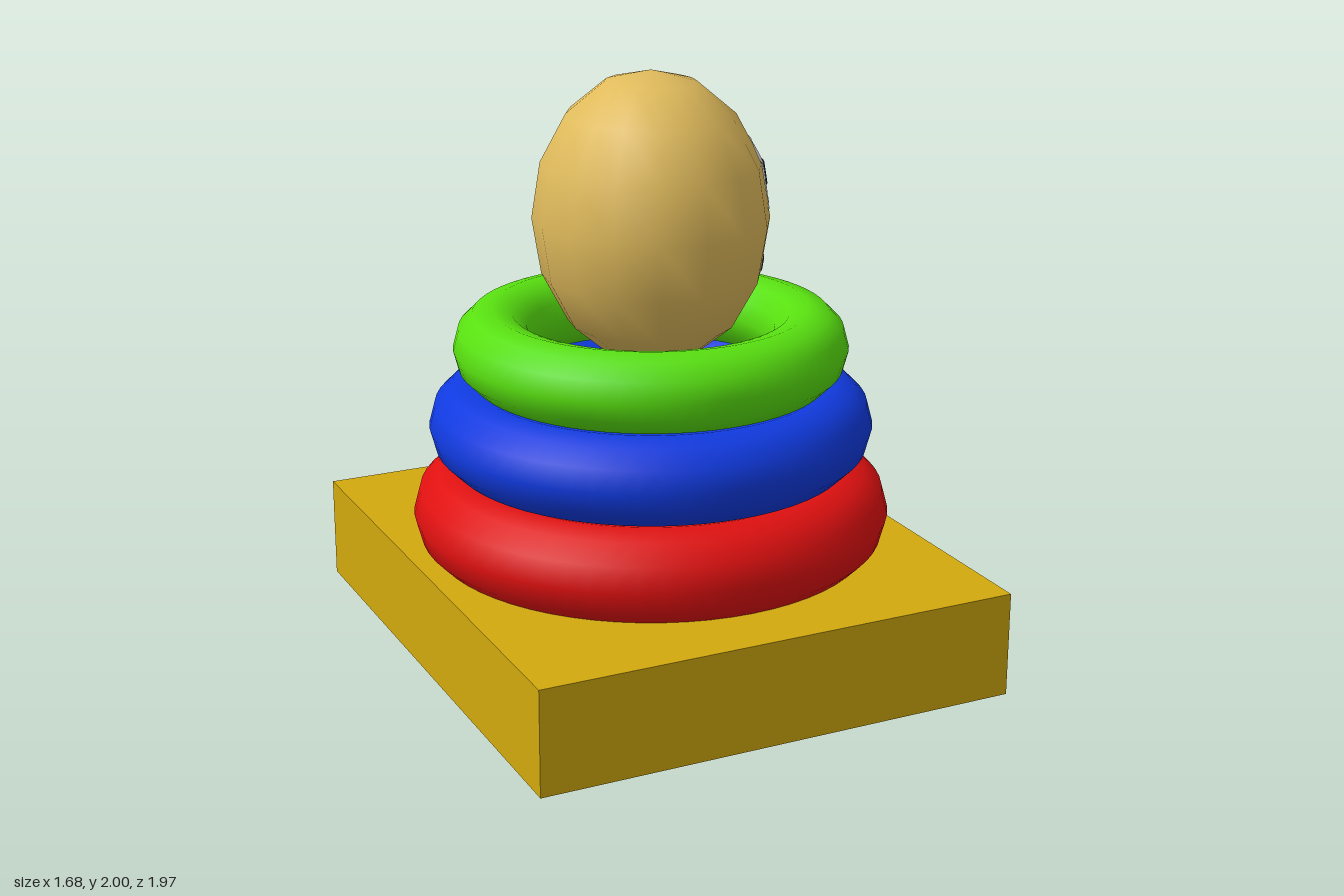
import * as THREE from 'three';

const material = (name, color, side = THREE.FrontSide) => {
  const m = new THREE.MeshStandardMaterial({ color, side });
  m.name = name;
  return m;
};

const HEAD_Y = 1.5;
const HEAD_RADII = new THREE.Vector3(0.395, 0.5, 0.43);

export function createModel() {
  const group = new THREE.Group();
  const mats = {
    base: material('golden yellow', 0xd2a90e),
    red: material('red', 0xe01010),
    blue: material('blue', 0x103ae0),
    green: material('green', 0x58e010),
    skin: material('tan', 0xe0bb5c),
    post: material('cream', 0xd0c8b4),
    white: material('white', 0xe6e4e0, THREE.DoubleSide),
    black: material('black', 0x1c1c1c, THREE.DoubleSide),
  };
  const add = (name, geometry, mat, y = 0) => {
    const mesh = new THREE.Mesh(geometry, mat);
    mesh.name = name;
    mesh.position.y = y;
    group.add(mesh);
    return mesh;
  };

  // Slab base and the post that carries the rings
  add('base', new THREE.BoxGeometry(1.68, 0.36, 1.97), mats.base, 0.18);
  add('post', new THREE.CylinderGeometry(0.15, 0.15, 0.75, 24), mats.post, 0.73);

  // Stacked rings: name, centre radius, tube radius, height
  for (const [color, radius, tube, y] of [
    ['red', 0.655, 0.165, 0.48],
    ['blue', 0.61, 0.15, 0.79],
    ['green', 0.538, 0.135, 1.06],
  ]) {
    const ring = new THREE.TorusGeometry(radius, tube, 12, 64).rotateX(Math.PI / 2);
    add(color + 'Ring', ring, mats[color], y);
  }

  // Egg-shaped head
  const headGeometry = new THREE.SphereGeometry(1, 16, 8)
    .scale(HEAD_RADII.x, HEAD_RADII.y, HEAD_RADII.z)
    .translate(0, HEAD_Y, 0);
  const head = add('head', headGeometry, mats.skin);

  // Painted patch: maps (u, v) to (z, y) and lays the sheet on the +x side of the head
  const ray = new THREE.Raycaster();
  const toHead = new THREE.Vector3(-1, 0, 0);
  const paint = (name, mat, nu, nv, lift, map) => {
    const geo = new THREE.PlaneGeometry(1, 1, nu, nv);
    const { position, normal, uv } = geo.attributes;
    const n = new THREE.Vector3();
    for (let i = 0; i < position.count; i++) {
      const [z, y] = map(uv.getX(i), uv.getY(i));
      ray.set(new THREE.Vector3(2, y, z), toHead);
      const p = ray.intersectObject(head)[0].point;
      n.set(p.x, p.y - HEAD_Y, p.z).divide(HEAD_RADII).divide(HEAD_RADII).normalize();
      p.addScaledVector(n, lift);
      position.setXYZ(i, p.x, p.y, p.z);
      normal.setXYZ(i, n.x, n.y, n.z);
    }
    add(name, geo, mat);
  };
  const oval = (name, mat, z, y, rz, ry, lift) =>
    paint(name, mat, 28, 7, lift, (u, v) => {
      const a = -2 * Math.PI * u;
      return [z - rz * v * Math.cos(a), y + ry * v * Math.sin(a)];
    });

  // Eyes with pupils
  oval('leftEye', mats.white, -0.135, 1.628, 0.112, 0.128, 0.004);
  oval('rightEye', mats.white, 0.11, 1.643, 0.108, 0.13, 0.004);
  oval('leftPupil', mats.black, -0.128, 1.628, 0.044, 0.047, 0.008);
  oval('rightPupil', mats.black, 0.125, 1.648, 0.044, 0.047, 0.008);

  // Smiling mouth, a band along a curve in (-z, y)
  const smile = new THREE.SplineCurve([
    [-0.16, 1.36], [-0.11, 1.295], [-0.05, 1.262], [0, 1.246],
    [0.06, 1.26], [0.12, 1.29], [0.175, 1.32], [0.203, 1.37],
  ].map(([x, y]) => new THREE.Vector2(x, y)));
  paint('mouth', mats.black, 40, 2, 0.005, (u, v) => {
    const p = smile.getPoint(u);
    const t = smile.getTangent(u);
    const w = (v - 0.5) * 0.034;
    return [-(p.x - t.y * w), p.y + t.x * w];
  });

  return group;
}
